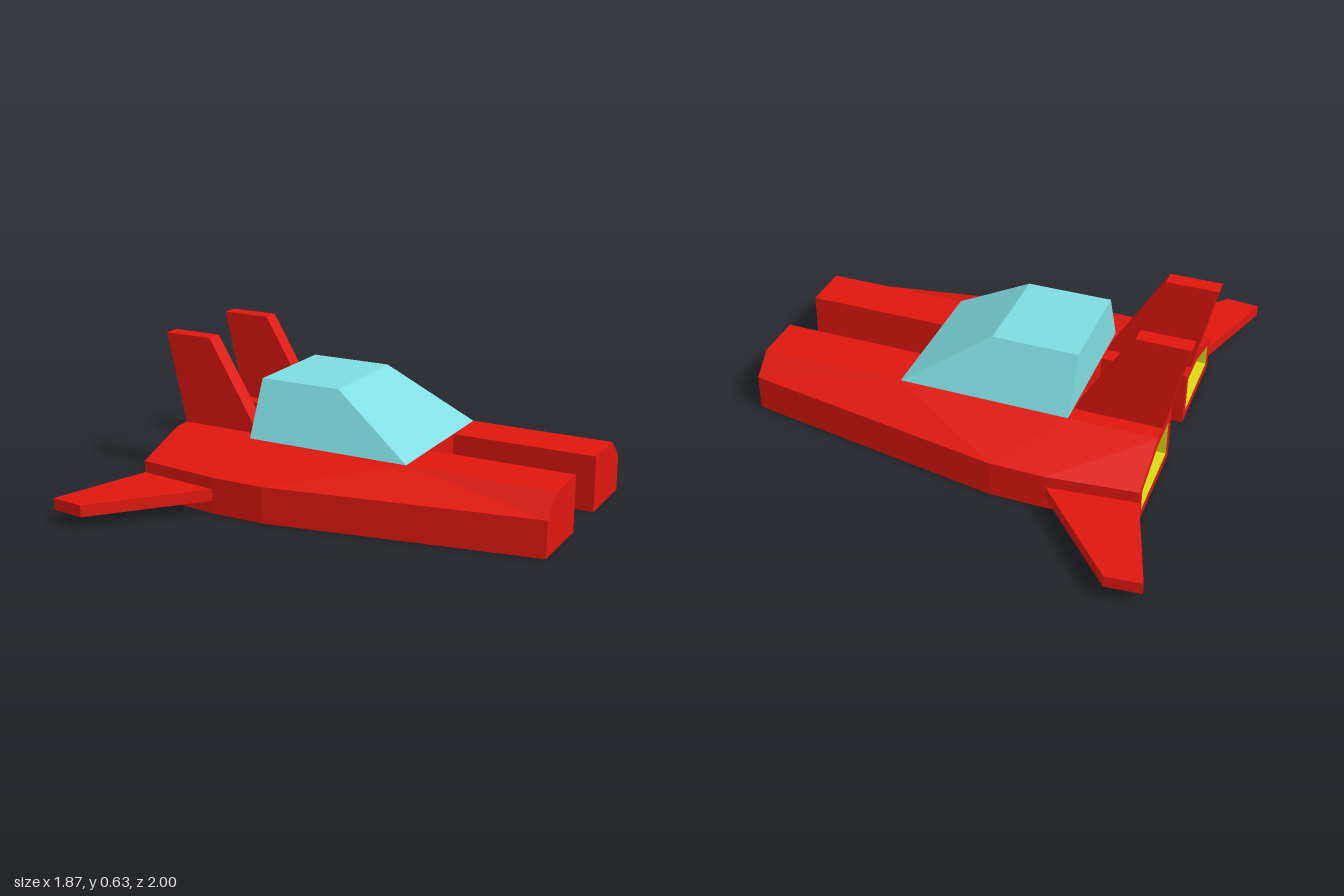
import * as THREE from 'three';

const mat = (color) => new THREE.MeshStandardMaterial({ color, flatShading: true });

// Joins cross-sections (rings of [x, y, z]) running along +x into a faceted skin.
function loft(rings, { startCap = true, endCap = true, flip = false } = {}) {
  const pos = [];
  const tri = (a, b, c) => pos.push(...a, ...(flip ? c : b), ...(flip ? b : c));
  const n = rings[0].length;
  for (let s = 0; s < rings.length - 1; s++) {
    const a = rings[s], b = rings[s + 1];
    for (let i = 0; i < n; i++) {
      const j = (i + 1) % n;
      tri(a[i], a[j], b[j]);
      tri(a[i], b[j], b[i]);
    }
  }
  const first = rings[0], last = rings[rings.length - 1];
  for (let i = 1; i < n - 1; i++) {
    if (startCap) tri(first[0], first[i + 1], first[i]);
    if (endCap) tri(last[0], last[i], last[i + 1]);
  }
  const g = new THREE.BufferGeometry();
  g.setAttribute('position', new THREE.Float32BufferAttribute(pos, 3));
  g.computeVertexNormals();
  return g;
}

// Flat plate from an outline, extruded along z.
function plate(points, depth) {
  const shape = new THREE.Shape(points.map(([x, y]) => new THREE.Vector2(x, y)));
  return new THREE.ExtrudeGeometry(shape, { depth, bevelEnabled: false });
}

export function createModel() {
  const model = new THREE.Group();
  const red = mat(0xe0170f), glass = mat(0x7fdde2), yellow = mat(0xdcdc10);
  const add = (name, geometry, material) => {
    const mesh = new THREE.Mesh(geometry, material);
    mesh.name = name;
    model.add(mesh);
    return mesh;
  };

  // Hull section: inner wall, flat deck, sloped shoulder, outer wall
  const hullRing = (x, outer, side, xIn = x) => [
    [xIn, 0, 0.12 * side], [xIn, 0.24, 0.12 * side], [xIn, 0.24, 0.33 * side],
    [x, 0.155, outer * side], [x, 0, outer * side],
  ];
  // Exhaust opening, an inset of the rear section
  const exhaustRing = (x, side) => [
    [0.16, 0.04], [0.16, 0.2], [0.32, 0.2], [0.53, 0.135], [0.53, 0.04],
  ].map(([z, y]) => [x, y, z * side]);

  for (const side of [1, -1]) {
    const label = side > 0 ? 'Front' : 'Rear';
    const mirrored = side < 0;

    add('hull' + label, loft([
      exhaustRing(-0.8, side),
      hullRing(-0.8, 0.57, side),
      hullRing(-0.43, 0.61, side),
      hullRing(-0.2, 0.61, side, 0.3),
      hullRing(0.93, 0.42, side),
    ], { startCap: false, flip: mirrored }), red);

    // Shallow recess facing backwards
    add('exhaust' + label, loft([exhaustRing(-0.8, side), exhaustRing(-0.75, side)],
      { startCap: false, flip: !mirrored }), yellow);

    // Upright tail fin
    const fin = plate([[-0.8, 0.24], [-0.435, 0.24], [-0.665, 0.63], [-0.885, 0.63]], 0.07);
    fin.translate(0, 0, side * 0.225 - 0.035);
    add('tailFin' + label, fin, red);

    // Swept wing lying flat
    const wing = plate([[-0.8, 0.57], [-0.435, 0.61], [-0.79, 1], [-0.935, 0.985]]
      .map(([x, z]) => [x, z * side]), 0.05);
    wing.rotateX(Math.PI / 2).translate(0, 0.105, 0);
    add('wing' + label, wing, red);
  }

  // Body joining the two hulls
  add('centreBody', new THREE.BoxGeometry(0.73, 0.24, 0.24).translate(-0.065, 0.12, 0), red);

  // Canopy with sloped sides and windscreen
  const canopyRing = (xBase, xTop) => [
    [xBase, 0.24, -0.33], [xTop, 0.475, -0.22], [xTop, 0.475, 0.22], [xBase, 0.24, 0.33],
  ];
  add('canopy', loft([canopyRing(-0.43, -0.43), canopyRing(0.3, -0.065)]), glass);

  return model;
}
